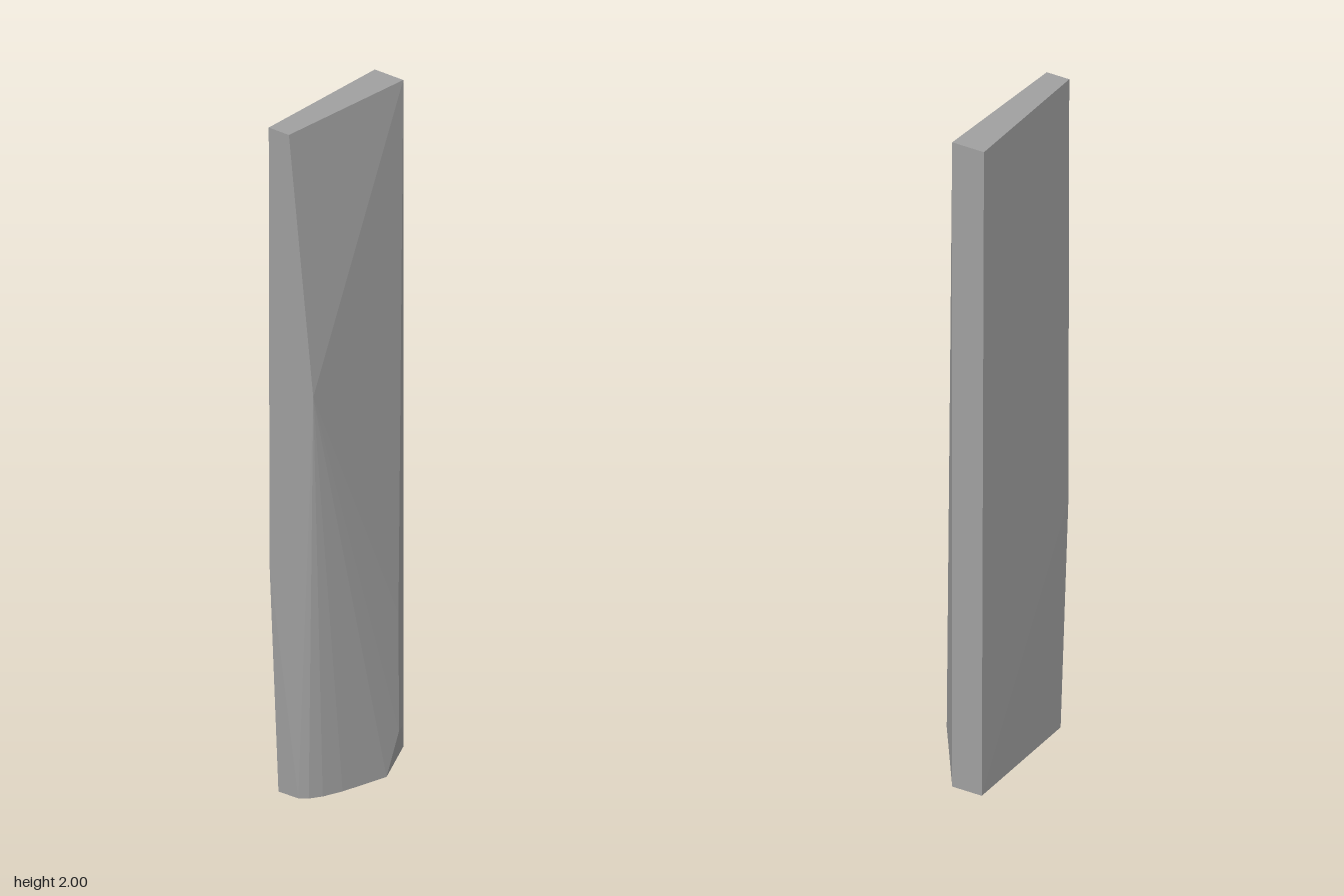
import * as THREE from 'three';
import { ConvexGeometry } from 'three/addons/geometries/ConvexGeometry.js';

export function createModel() {
  const group = new THREE.Group();
  group.name = 'stoneSlab';
  const stone = new THREE.MeshStandardMaterial({ color: 0xa0a0a0 });
  stone.name = 'stone grey';

  const corners = [
    // flat top
    [-0.236, 2, -0.07], [-0.236, 2, 0.003], [0.236, 2, 0.003], [0.236, 2, -0.1],
    // left edge: front bulge and back break
    [-0.236, 1.24, 0.091], [-0.236, 0.69, -0.067],
    // worn front right ridge
    [0.11, 0.47, 0.096], [0.11, 0.12, 0.098], [0.145, 0.12, 0.08],
    // foot, round from the back right corner
    [0.236, 0, -0.093], [0.236, 0, 0.003], [0.06, 0, 0.097], [-0.09, 0, 0.069],
    [-0.15, 0, 0.05], [-0.185, 0, 0.03], [-0.203, 0, 0.008], [-0.205, 0, -0.062],
  ].map((p) => new THREE.Vector3(...p));

  // Convex facets give the chiselled faces
  const slab = new THREE.Mesh(new ConvexGeometry(corners), stone);
  slab.name = 'slab';
  group.add(slab);
  return group;
}
